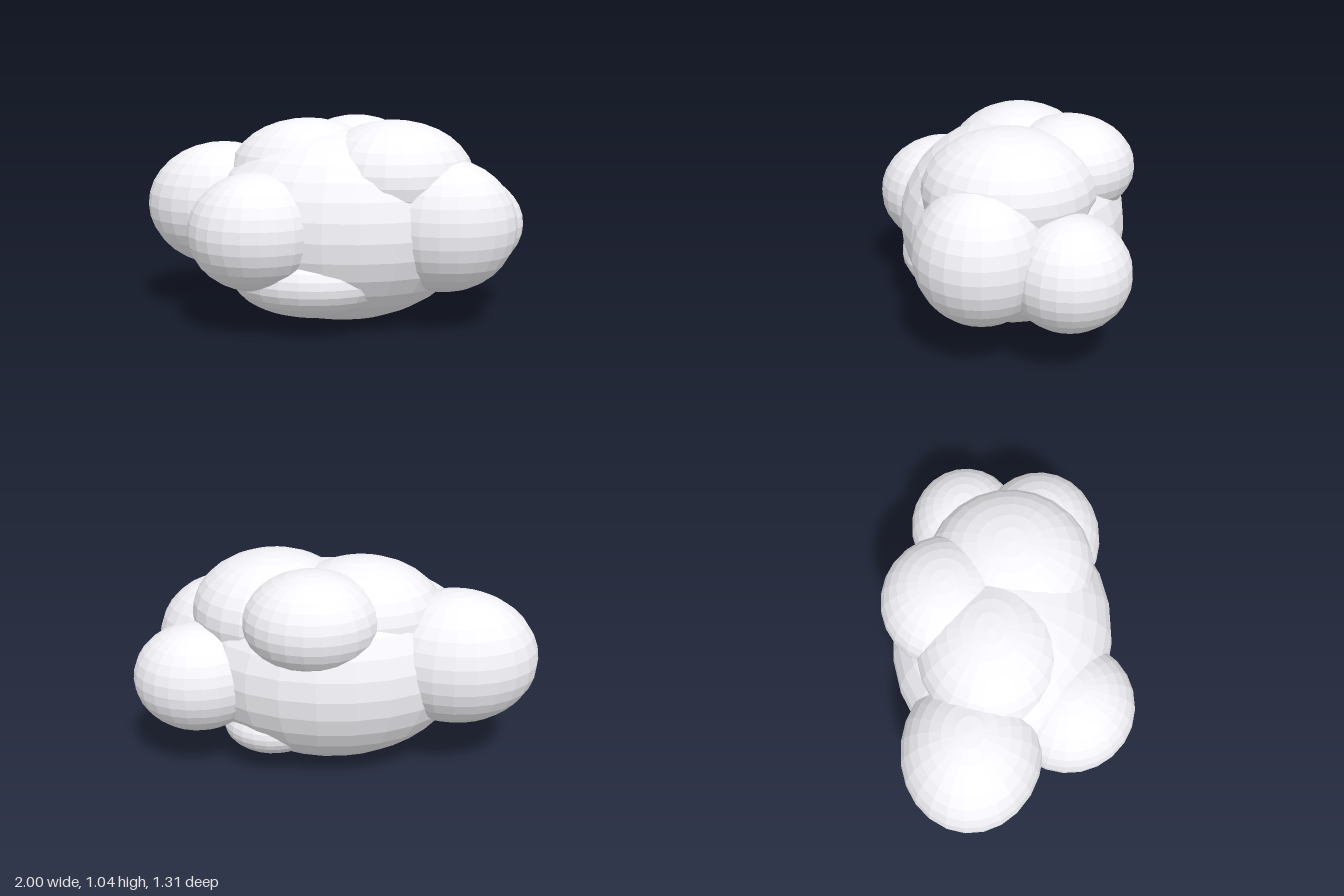
import * as THREE from 'three';

// Each puff: name, centre [x, y, z], radii [x, y, z]
const PUFFS = [
  ['body', [0.05, 0.498, -0.05], [0.70, 0.498, 0.57]],
  ['rightPuff', [-0.59, 0.57, -0.15], [0.41, 0.333, 0.353]],
  ['frontPuff', [-0.31, 0.51, 0.31], [0.342, 0.295, 0.342]],
  ['leftFrontPuff', [0.595, 0.53, 0.10], [0.368, 0.335, 0.328]],
  ['leftBackPuff', [0.68, 0.47, -0.30], [0.32, 0.27, 0.293]],
  ['topRightPuff', [-0.12, 0.75, -0.09], [0.415, 0.29, 0.37]],
  ['topLeftPuff', [0.33, 0.745, -0.03], [0.415, 0.295, 0.425]],
  ['topBackPuff', [0.10, 0.795, -0.33], [0.342, 0.245, 0.327]],
  ['lowerFrontPuff', [-0.06, 0.27, 0.20], [0.40, 0.20, 0.328]],
  ['lowerBackPuff', [0.31, 0.225, -0.25], [0.255, 0.15, 0.255]],
];

export function createModel() {
  const cloud = new THREE.Group();
  cloud.name = 'cloud';
  const material = new THREE.MeshStandardMaterial({ color: 0xf4f3f8, flatShading: true });
  const sphere = new THREE.SphereGeometry(1, 24, 16);

  // Overlapping squashed spheres form the cloud
  for (const [name, centre, radii] of PUFFS) {
    const puff = new THREE.Mesh(sphere, material);
    puff.name = name;
    puff.position.set(...centre);
    puff.scale.set(...radii);
    cloud.add(puff);
  }
  return cloud;
}
